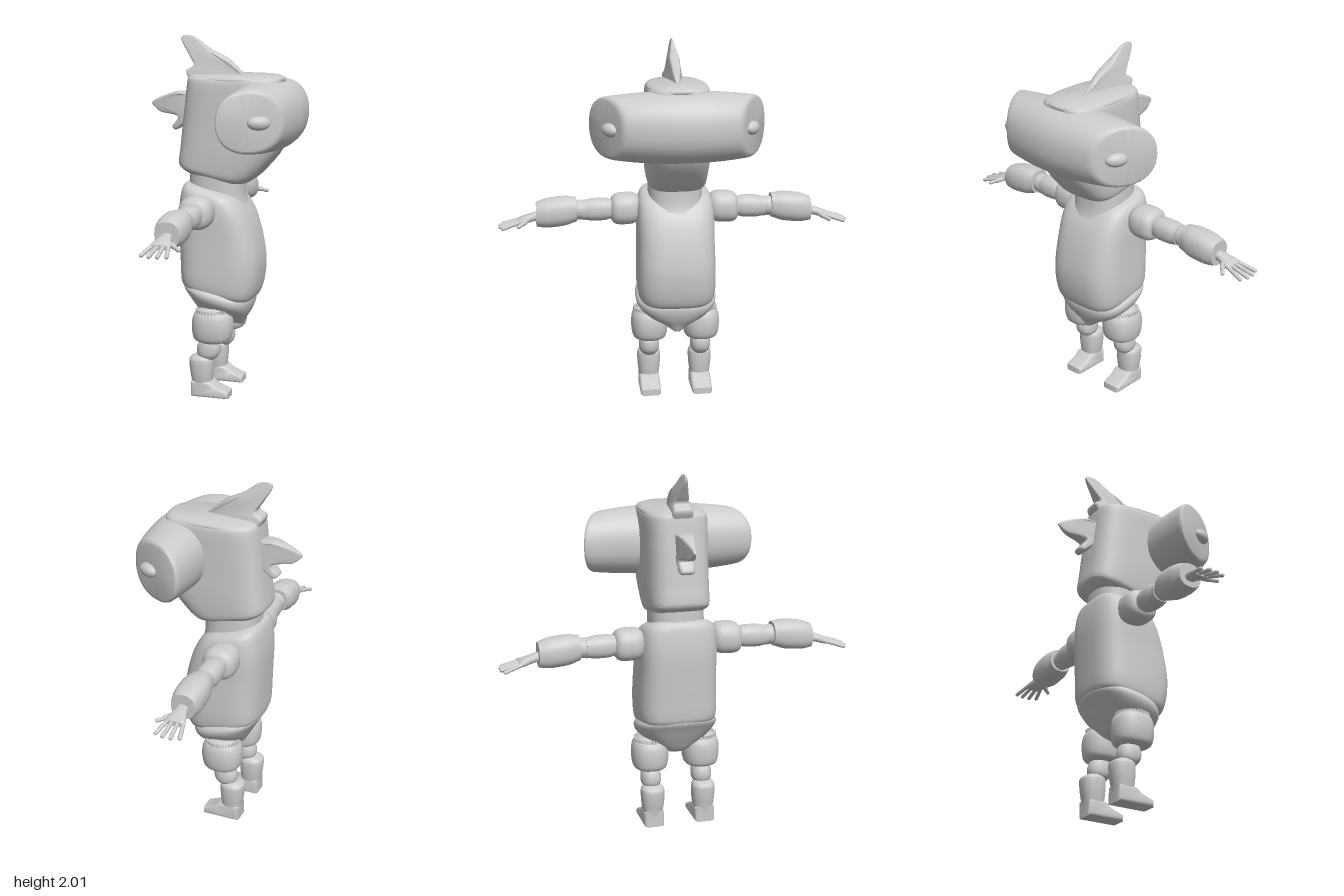
import * as THREE from 'three';
import { toCreasedNormals } from 'three/addons/utils/BufferGeometryUtils.js';

const material = new THREE.MeshStandardMaterial({ color: 0xcccccc });

function add(parent, name, geometry) {
  const mesh = new THREE.Mesh(geometry, material);
  mesh.name = name;
  parent.add(mesh);
  return mesh;
}

// Superellipse sections stacked along y, splined and capped.
// Row: [y, xMin, xMax, zRadius, tilt, zCentre]; n sets how boxy the section is.
function loft(rows, n = 2, sub = 4, warp = null, sides = 40) {
  const columns = [1, 2, 3, 4, 5].map(k =>
    new THREE.SplineCurve(rows.map(r => new THREE.Vector2(r[0], r[k] || 0))));
  const steps = (rows.length - 1) * sub;
  const rings = [];
  for (let i = 0; i <= steps; i++) {
    const p = columns.map(c => c.getPoint(i / steps));
    rings.push([p[0].x, ...p.map(v => v.y), 1]);
  }
  rings.unshift([...rings[0].slice(0, 6), 0]);
  rings.push([...rings[rings.length - 1].slice(0, 6), 0]);
  const round = v => Math.sign(v) * Math.abs(v) ** (2 / n);
  const pos = [], index = [];
  rings.forEach(([y, x0, x1, rz, tilt, cz, k], i) => {
    for (let j = 0; j < sides; j++) {
      const a = (j / sides) * Math.PI * 2;
      const dx = round(Math.cos(a)) * k * (x1 - x0) / 2;
      const p = new THREE.Vector3((x0 + x1) / 2 + dx, y + tilt * dx, cz + round(Math.sin(a)) * k * rz);
      if (warp) warp(p);
      pos.push(p.x, p.y, p.z);
      if (i === rings.length - 1) continue;
      const b = i * sides + j, c = i * sides + (j + 1) % sides;
      if (i < rings.length - 2) index.push(b, b + sides, c + sides);
      if (i > 0) index.push(b, c + sides, c);
    }
  });
  const g = new THREE.BufferGeometry();
  g.setAttribute('position', new THREE.Float32BufferAttribute(pos, 3));
  g.setIndex(index);
  return toCreasedNormals(g, 0.8);
}

// Rounded slab from a side outline
function slab(points, depth, bevel, smooth = false) {
  const v = points.map(p => new THREE.Vector2(...p));
  const shape = new THREE.Shape();
  if (smooth) shape.setFromPoints(new THREE.SplineCurve(v).getPoints(points.length * 4));
  else shape.setFromPoints(v);
  const g = new THREE.ExtrudeGeometry(shape, {
    depth, bevelEnabled: true, bevelSize: bevel, bevelOffset: smooth ? -bevel : 0,
    bevelThickness: bevel * 1.2, bevelSegments: 4,
  });
  g.translate(0, 0, -depth / 2);
  return g;
}

// Fin that thins towards its tip: f(x, y) scales its thickness
function fin(points, f) {
  const g = slab(points, 0.05, 0.012, true);
  const p = g.attributes.position;
  for (let i = 0; i < p.count; i++) p.setZ(i, p.getZ(i) * f(p.getX(i), p.getY(i)));
  return toCreasedNormals(g, 0.8);
}

// Finger-like rod between two points
function rod(a, b, r) {
  const d = b.clone().sub(a);
  const g = new THREE.CapsuleGeometry(r, d.length() - r, 4, 10);
  g.applyQuaternion(new THREE.Quaternion().setFromUnitVectors(new THREE.Vector3(0, 1, 0), d.clone().normalize()));
  const m = a.clone().add(b).multiplyScalar(0.5);
  return g.translate(m.x, m.y, m.z);
}

function buildArm(s) {
  const arm = new THREE.Group();
  arm.name = s > 0 ? 'armNearFrontSide' : 'armFarSide';
  // Barrel segment lying along z: start, end, heights at both ends, radii, rounding
  const segment = (name, z0, z1, y0, y1, r, ry, end, n) => {
    const rows = [[0, end], [0.1, 0.88], [0.3, 1], [0.7, 1], [0.9, 0.9], [1, end]].map(([u, k]) =>
      [z0 + (z1 - z0) * u, -0.09 - r * k, -0.09 + r * k, ry * k, 0, -s * (y0 + (y1 - y0) * u)]);
    add(arm, name, loft(rows, n, 3, null, 28).rotateX(s * Math.PI / 2));
  };
  segment('shoulder', 0.2, 0.355, 1.075, 1.07, 0.093, 0.088, 0.7, 2.5);
  segment('upperArm', 0.34, 0.515, 1.072, 1.068, 0.062, 0.062, 0.9, 2.4);
  segment('elbow', 0.5, 0.565, 1.07, 1.068, 0.052, 0.055, 0.75, 2);
  segment('forearm', 0.55, 0.775, 1.073, 1.05, 0.08, 0.082, 0.82, 2.5);
  // Palm widens towards the fingers and slopes down
  const palm = [[0.75, -0.12, -0.06, 0.026, 0, -s * 1.045], [0.8, -0.125, -0.055, 0.024, 0, -s * 1.033],
    [0.86, -0.145, -0.037, 0.02, 0, -s * 1.015], [0.88, -0.14, -0.042, 0.013, 0, -s * 1.01]];
  add(arm, 'palm', loft(palm, 2.6, 3, null, 24).rotateX(s * Math.PI / 2));
  [[-0.134, -0.16, 0.965], [-0.106, -0.115, 0.98], [-0.076, -0.07, 0.98], [-0.05, -0.026, 0.965]].forEach(([x0, x1, z]) =>
    add(arm, 'finger', rod(new THREE.Vector3(x0, 1.015, s * 0.86), new THREE.Vector3(x1, 0.983, s * z), 0.011)));
  add(arm, 'thumb', rod(new THREE.Vector3(-0.065, 1.025, s * 0.82), new THREE.Vector3(-0.02, 1.01, s * 0.85), 0.014));
  add(arm, 'thumbTip', rod(new THREE.Vector3(-0.03, 1.012, s * 0.845), new THREE.Vector3(0.01, 1.0, s * 0.875), 0.011));
  return arm;
}

function buildLeg(s) {
  const leg = new THREE.Group();
  leg.name = s > 0 ? 'legNearFrontSide' : 'legFarSide';
  leg.position.z = s * 0.148;
  add(leg, 'thigh', loft([[0.32, -0.11, 0.03, 0.07], [0.34, -0.145, 0.062, 0.094], [0.4, -0.155, 0.075, 0.104],
    [0.46, -0.15, 0.07, 0.1], [0.495, -0.13, 0.05, 0.085], [0.515, -0.1, 0.02, 0.06]], 2.3));
  // Frill of small tabs around the top of the thigh
  for (let i = 0; i < 32; i++) {
    const a = (i / 32) * Math.PI * 2;
    const tab = add(leg, 'frillTab', new THREE.BoxGeometry(0.014, 0.018, 0.011));
    tab.position.set(-0.04 + Math.cos(a) * 0.09, 0.498, Math.sin(a) * 0.084);
    tab.rotation.y = -a;
  }
  add(leg, 'knee', loft([[0.215, -0.1, -0.03, 0.035], [0.24, -0.125, -0.005, 0.054], [0.275, -0.13, 0.005, 0.058],
    [0.31, -0.12, 0, 0.053], [0.34, -0.1, -0.02, 0.04]], 2.2));
  add(leg, 'shin', loft([[0.03, -0.155, -0.055, 0.05], [0.08, -0.158, -0.045, 0.056], [0.14, -0.168, -0.038, 0.064],
    [0.2, -0.173, -0.036, 0.066], [0.222, -0.168, -0.04, 0.061], [0.238, -0.14, -0.065, 0.045]], 2.4));
  const sole = [[-0.14, 0.016], [0.045, 0.016], [0.045, 0.025], [-0.02, 0.05], [-0.05, 0.075], [-0.14, 0.075]];
  add(leg, 'foot', toCreasedNormals(slab(sole, 0.078, 0.016), 0.8));
  return leg;
}

export function createModel() {
  const model = new THREE.Group();
  model.name = 'figure';

  add(model, 'pelvis', loft([[0.395, -0.03, 0.1, 0.025], [0.43, -0.11, 0.115, 0.08], [0.48, -0.155, 0.135, 0.16, -0.1],
    [0.54, -0.2, 0.15, 0.215, -0.2], [0.585, -0.23, 0.155, 0.228, -0.22], [0.615, -0.22, 0.14, 0.21, -0.22]], 2.7));
  add(model, 'torso', loft([[0.575, -0.2, 0.13, 0.17, -0.2], [0.598, -0.232, 0.17, 0.208, -0.2],
    [0.66, -0.24, 0.197, 0.22, -0.12], [0.76, -0.243, 0.208, 0.22], [0.9, -0.248, 0.187, 0.216],
    [1.03, -0.25, 0.15, 0.216, -0.05], [1.12, -0.238, 0.11, 0.208, -0.15], [1.165, -0.222, 0.075, 0.185, -0.2],
    [1.185, -0.195, 0.04, 0.14, -0.2]], 3.4));
  add(model, 'neck', loft([[1.1, -0.21, 0.12, 0.155, -0.15], [1.16, -0.205, 0.105, 0.152, -0.18],
    [1.28, -0.2, 0.1, 0.15, -0.2]], 2.5));

  add(model, 'head', loft([[1.235, -0.22, 0.1, 0.135, -0.2], [1.255, -0.25, 0.145, 0.16, -0.2],
    [1.3, -0.258, 0.215, 0.168, -0.1], [1.4, -0.248, 0.31, 0.172, -0.02], [1.5, -0.238, 0.34, 0.172],
    [1.65, -0.22, 0.33, 0.172], [1.755, -0.208, 0.32, 0.17], [1.785, -0.2, 0.31, 0.155],
    [1.797, -0.18, 0.28, 0.125]], 3.6));
  // Rounded plate that runs forward over the snout
  add(model, 'headPlate', loft([[1.755, -0.2, 0.31, 0.155], [1.768, -0.205, 0.32, 0.165], [1.785, -0.203, 0.318, 0.163],
    [1.798, -0.18, 0.29, 0.135]], 2.7));

  // Hammer-shaped snout across z, its ends sloping back from the middle
  const half = [[0.485, 0.085, 0.36, 0.14], [0.475, 0.073, 0.385, 0.16], [0.43, 0.066, 0.4, 0.17],
    [0.25, 0.056, 0.42, 0.185]];
  const rows = [...half.map(([t, ...r]) => [-t, ...r]), [0, 0.05, 0.43, 0.193], ...half.slice().reverse()];
  const snout = loft(rows, 2.25, 4, p => { p.y *= 1 - 1.1 * (p.x - 0.07); });
  add(model, 'snout', snout.rotateX(Math.PI / 2).translate(0, 1.583, 0));
  for (const s of [1, -1]) {
    const eye = add(model, 'eye', new THREE.SphereGeometry(1, 24, 16));
    eye.scale.set(0.062, 0.037, 0.035);
    eye.position.set(0.28, 1.58, s * 0.378);
    eye.rotation.y = s * 0.49;
  }

  // Arched mouth with small teeth under the snout
  const mouth = new THREE.Group();
  mouth.name = 'mouth';
  mouth.position.set(0.188, 1.275, 0);
  mouth.rotation.set(0, Math.PI / 2, 0);
  const lip = add(mouth, 'lip', new THREE.TorusGeometry(0.075, 0.01, 8, 24, Math.PI));
  lip.scale.y = 0.4;
  for (let i = -4; i <= 4; i++) {
    const tooth = add(mouth, 'tooth', new THREE.ConeGeometry(0.007, 0.022, 6));
    tooth.position.set(i * 0.014, 0.018 - 0.0009 * i * i, 0);
    tooth.rotation.x = Math.PI;
  }
  model.add(mouth);

  // Crest on top and tuft behind
  add(model, 'topCrest', fin([[-0.2, 1.76], [-0.222, 1.815], [-0.18, 1.845], [-0.205, 1.89], [-0.262, 1.99],
    [-0.19, 2.0], [-0.1, 1.935], [0.0, 1.885], [0.06, 1.835], [0.1, 1.785], [-0.05, 1.765], [-0.2, 1.76]],
  (x, y) => THREE.MathUtils.clamp(1.45 * (2.02 - y) / 0.22, 0.12, 1.45) * THREE.MathUtils.clamp((0.13 - x) / 0.2, 0.15, 1)));
  add(model, 'backTuft', fin([[-0.19, 1.69], [-0.29, 1.695], [-0.4, 1.655], [-0.435, 1.63], [-0.425, 1.612], [-0.38, 1.58],
    [-0.275, 1.56], [-0.31, 1.505], [-0.285, 1.485], [-0.24, 1.52], [-0.19, 1.57], [-0.19, 1.69]],
  x => THREE.MathUtils.clamp(1.2 * (x + 0.46) / 0.2, 0.15, 1.2)));

  for (const s of [1, -1]) model.add(buildArm(s), buildLeg(s));
  return model;
}
